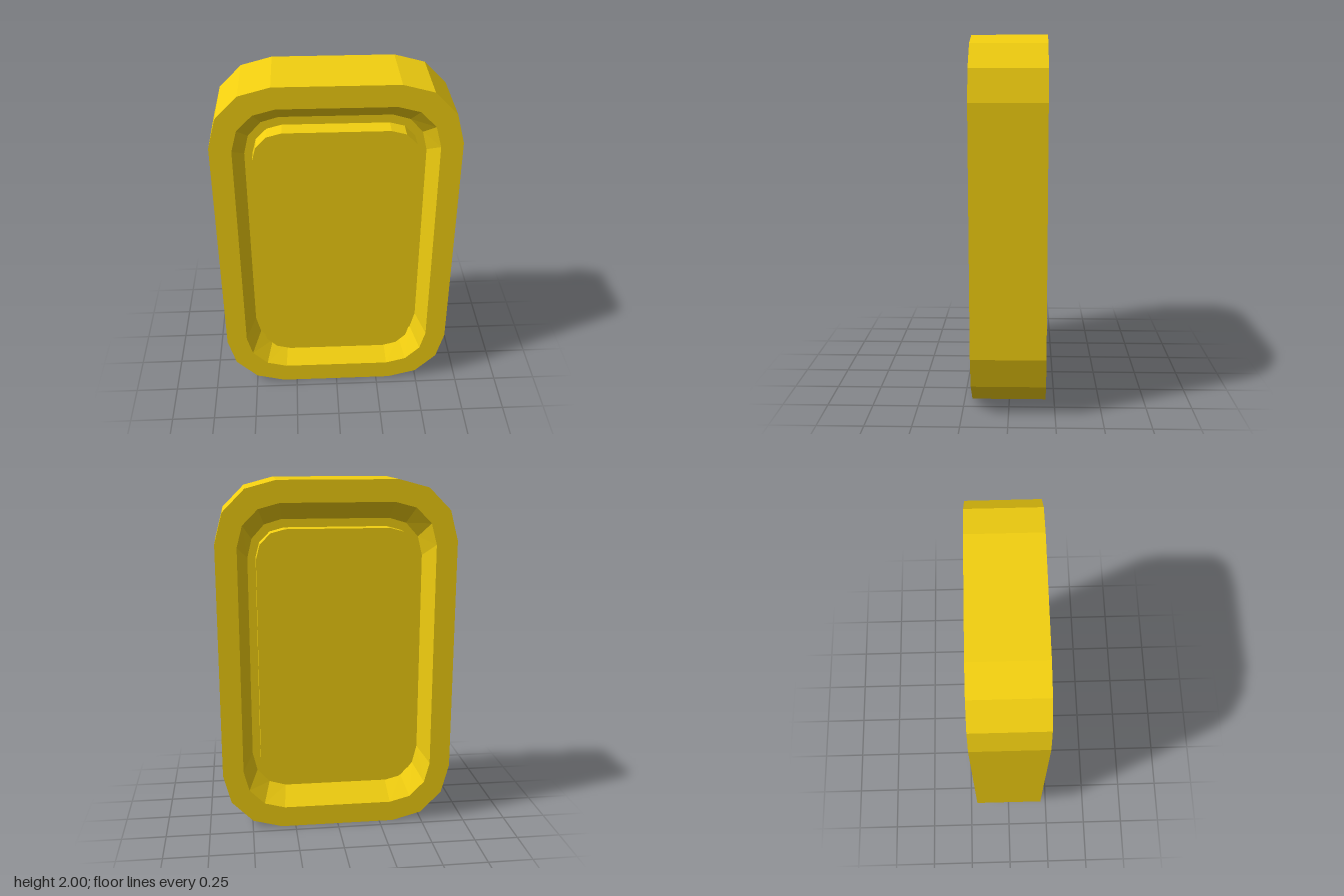
import * as THREE from 'three';

// Rounded rectangle, counter-clockwise, three facets per corner
function outline(halfW, halfH, rx, ry = rx) {
  const points = [];
  const corners = [[1, 1], [-1, 1], [-1, -1], [1, -1]];
  corners.forEach(([sx, sy], c) => {
    for (let i = 0; i <= 3; i++) {
      const a = (c + i / 3) * Math.PI / 2;
      points.push(new THREE.Vector2(
        sx * (halfW - rx) + Math.cos(a) * rx,
        sy * (halfH - ry) + Math.sin(a) * ry));
    }
  });
  return points;
}

// Skin joining successive outlines, each placed at its own depth
function loft(sections) {
  const positions = [], index = [];
  const n = sections[0][0].length;
  for (const [points, z] of sections) {
    for (const p of points) positions.push(p.x, p.y, z);
  }
  for (let k = 0; k < sections.length - 1; k++) {
    for (let i = 0; i < n; i++) {
      const j = (i + 1) % n;
      const a = k * n + i, b = k * n + j, c = b + n, d = a + n;
      index.push(a, b, c, a, c, d);
    }
  }
  const geometry = new THREE.BufferGeometry();
  geometry.setAttribute('position', new THREE.Float32BufferAttribute(positions, 3));
  geometry.setIndex(index);
  const flat = geometry.toNonIndexed();
  flat.computeVertexNormals();
  return flat;
}

export function createModel() {
  const group = new THREE.Group();
  group.name = 'coin';
  const gold = new THREE.MeshStandardMaterial({ color: 0xf2cf10, flatShading: true });

  const outer = outline(0.665, 1, 0.335);
  const lip = outline(0.547, 0.88, 0.235);
  const floor = outline(0.49, 0.785, 0.19, 0.21);
  const panel = outline(0.445, 0.74, 0.16);

  // Outer band, rims, sloped inner walls and groove floors on both faces
  const rim = new THREE.Mesh(loft([
    [panel, -0.09], [floor, -0.09], [lip, -0.2], [outer, -0.2],
    [outer, 0.2], [lip, 0.2], [floor, 0.09], [panel, 0.09],
  ]), gold);
  rim.name = 'rim';
  group.add(rim);

  // Raised centre panel, showing on both faces
  const panelGeometry = new THREE.ExtrudeGeometry(new THREE.Shape(panel), {
    depth: 0.38, bevelEnabled: false,
  });
  panelGeometry.translate(0, 0, -0.19);
  const centre = new THREE.Mesh(panelGeometry, gold);
  centre.name = 'centrePanel';
  group.add(centre);

  // Stand the coin on the ground
  for (const part of group.children) part.position.y = 1;
  return group;
}
